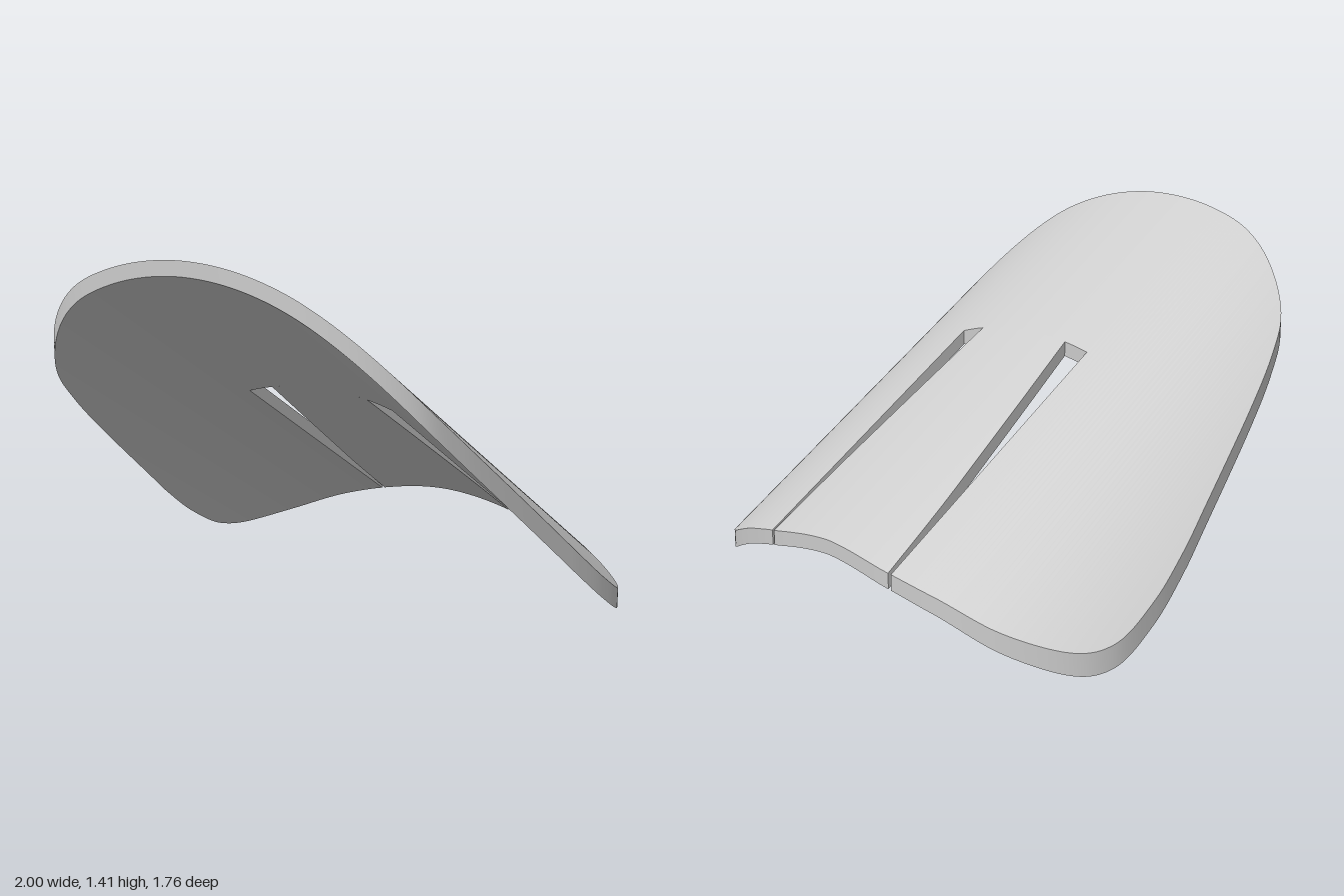
import * as THREE from 'three';
import { toCreasedNormals } from 'three/addons/utils/BufferGeometryUtils.js';

const SLOT_END = 0.1;      // z where the slots stop
const SLOT_OUTER = 0.33;   // straight outer edge of each slot
const SLOT_INNER = 0.22;   // inner edge at the closed end
const TONGUE_TIP = 0.318;  // inner edge at the open end

// Arched section, the same along the whole sloping plate
const bottomY = (x, z) => 0.805 + 0.634 * z - 0.44 * x * x - 0.05 * x ** 4;
const topY = (x, z) => bottomY(x, z) + 0.053 + 0.03 * x * x;

const spline = (points, n) =>
  new THREE.SplineCurve(points.map(([x, z]) => new THREE.Vector2(x, z))).getPoints(n);

// z on a curve whose x grows steadily
function lookup(points, x) {
  for (let i = 1; i < points.length; i++) {
    const a = points[i - 1], b = points[i];
    if (x <= b.x) return THREE.MathUtils.mapLinear(x, a.x, b.x, a.y, b.y);
  }
  return points[points.length - 1].y;
}

// Half of the plan outline, from the front middle round to the back middle
const outline = spline([
  [0, 0.875], [0.3, 0.87], [0.5, 0.853], [0.66, 0.79], [0.79, 0.68], [0.85, 0.54],
  [0.9, 0.33], [0.96, 0], [0.985, -0.15], [1, -0.32], [0.985, -0.5], [0.9, -0.64],
  [0.72, -0.77], [0.5, -0.84], [0.33, -0.872], [0.2, -0.88], [0, -0.876],
], 400);
const tip = outline.reduce((best, p, i) => (p.x > outline[best].x ? i : best), 0);
const tipX = outline[tip].x;
const frontCurve = outline.slice(0, tip + 1);
const backCurve = outline.slice(tip).reverse();
const frontZ = (x) => lookup(frontCurve, Math.abs(x));
const backZ = (x) => lookup(backCurve, Math.abs(x));

// Curved side of the tongue between the slots
const tongueSide = spline(
  [[SLOT_INNER, SLOT_END], [0.25, -0.15], [0.278, -0.4], [0.301, -0.62], [TONGUE_TIP, -0.874]], 24);
const tongueFrontZ = (x) => (Math.abs(x) <= SLOT_INNER ? SLOT_END : lookup(tongueSide, Math.abs(x)));

const range = (a, b, n) => Array.from({ length: n + 1 }, (_, i) => a + ((b - a) * i) / n);

// Solid panel made of four-cornered sections at each x
function panel(name, xs, zBack, zFront, material) {
  const sections = xs.map((x) => {
    const b = zBack(x), f = Math.max(zFront(x), b);
    return [[x, topY(x, b), b], [x, topY(x, f), f], [x, bottomY(x, f), f], [x, bottomY(x, b), b]];
  });
  const positions = [];
  const quad = (a, b, c, d) => positions.push(...a, ...b, ...c, ...a, ...c, ...d);
  for (let i = 0; i + 1 < sections.length; i++) {
    const s = sections[i], t = sections[i + 1];
    for (let k = 0; k < 4; k++) {
      const m = (k + 1) % 4;
      quad(s[k], s[m], t[m], t[k]);
    }
  }
  const first = sections[0], last = sections[sections.length - 1];
  quad(first[0], first[3], first[2], first[1]);
  quad(last[0], last[1], last[2], last[3]);
  const geometry = new THREE.BufferGeometry();
  geometry.setAttribute('position', new THREE.Float32BufferAttribute(positions, 3));
  const mesh = new THREE.Mesh(toCreasedNormals(geometry, 0.5), material);
  mesh.name = name;
  return mesh;
}

export function createModel() {
  const group = new THREE.Group();
  group.name = 'curvedPlate';
  const material = new THREE.MeshStandardMaterial({ color: 0xcccccc });

  // Front panel ahead of the slots
  group.add(panel('frontPanel', range(-SLOT_OUTER, SLOT_OUTER, 32), () => SLOT_END, frontZ, material));

  // Tongue between the slots
  const tongueXs = [
    ...range(-TONGUE_TIP, -SLOT_INNER, 16),
    ...range(-SLOT_INNER, SLOT_INNER, 22).slice(1, -1),
    ...range(SLOT_INNER, TONGUE_TIP, 16),
  ];
  group.add(panel('tongue', tongueXs, backZ, tongueFrontZ, material));

  // Side wings, with sections crowding towards the rounded outer edge
  const wingXs = range(0, Math.PI / 2, 64).map((t) => SLOT_OUTER + (tipX - SLOT_OUTER) * Math.sin(t));
  group.add(panel('leftWing', wingXs, backZ, frontZ, material));
  group.add(panel('rightWing', wingXs.map((x) => -x).reverse(), backZ, frontZ, material));

  return group;
}
